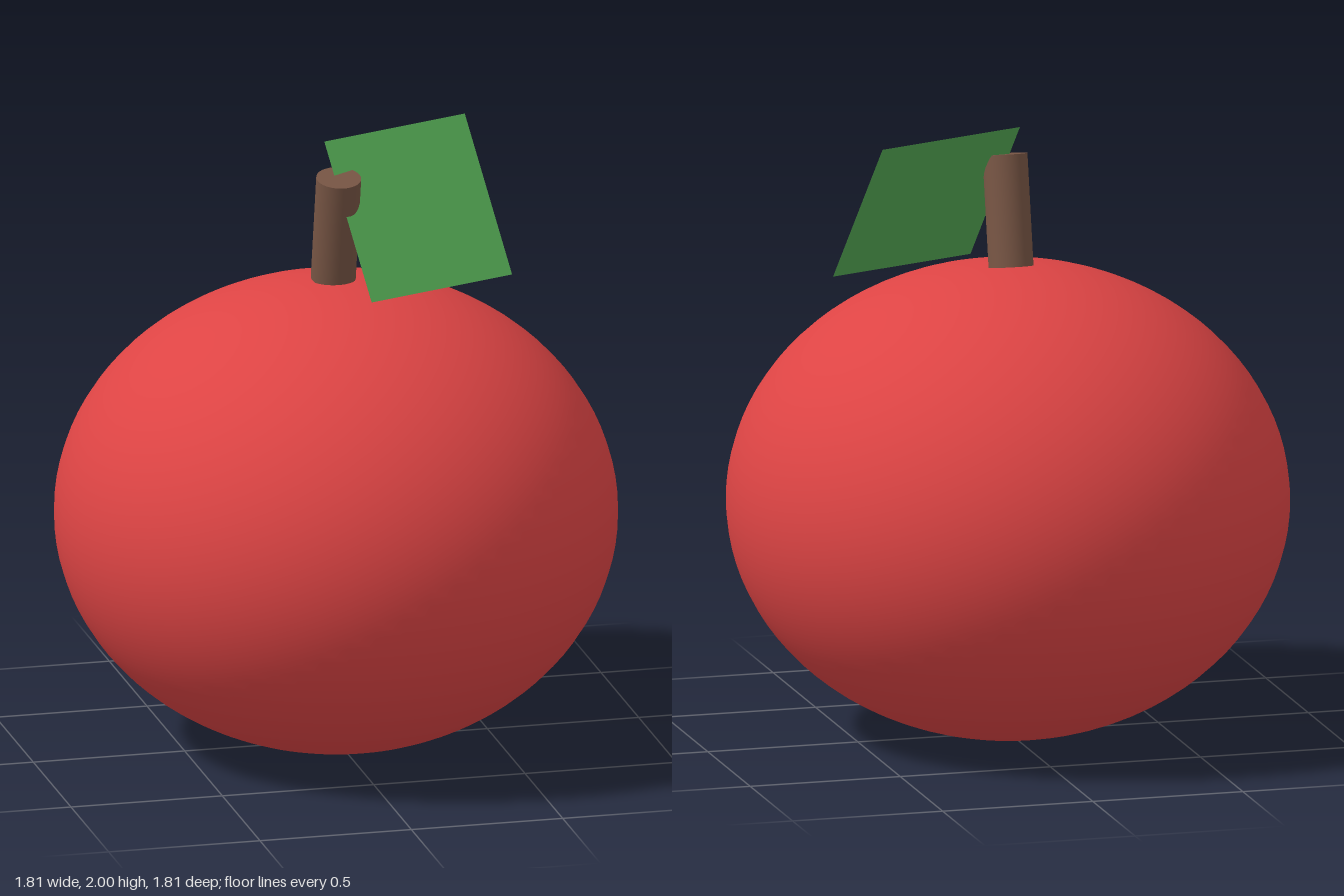
import * as THREE from 'three';

export function createModel() {
  const model = new THREE.Group();
  model.name = 'apple';
  const S = 0.905; // fruit radius

  const add = (name, geometry, color, y, side = THREE.FrontSide) => {
    const mesh = new THREE.Mesh(geometry, new THREE.MeshStandardMaterial({ color, side }));
    mesh.name = name;
    mesh.position.y = y;
    model.add(mesh);
    return mesh;
  };

  // Squashed round fruit
  const fruit = add('fruit', new THREE.SphereGeometry(S, 64, 48), 0xdd4444, 0.85 * S);
  fruit.scale.y = 0.85;

  // Stem leaning forward
  const stem = add('stem', new THREE.CylinderGeometry(0.08 * S, 0.08 * S, 0.4 * S, 32), 0x775544, 1.9 * S);
  stem.rotation.x = 0.2;

  // Flat square leaf, tilted back and turned to the side
  const leaf = add('leaf', new THREE.PlaneGeometry(0.6 * S, 0.6 * S), 0x55aa55, 1.95 * S, THREE.DoubleSide);
  leaf.position.x = 0.3 * S;
  leaf.rotation.set(-Math.PI / 6, Math.PI / 9, 0, 'YXZ');

  return model;
}
